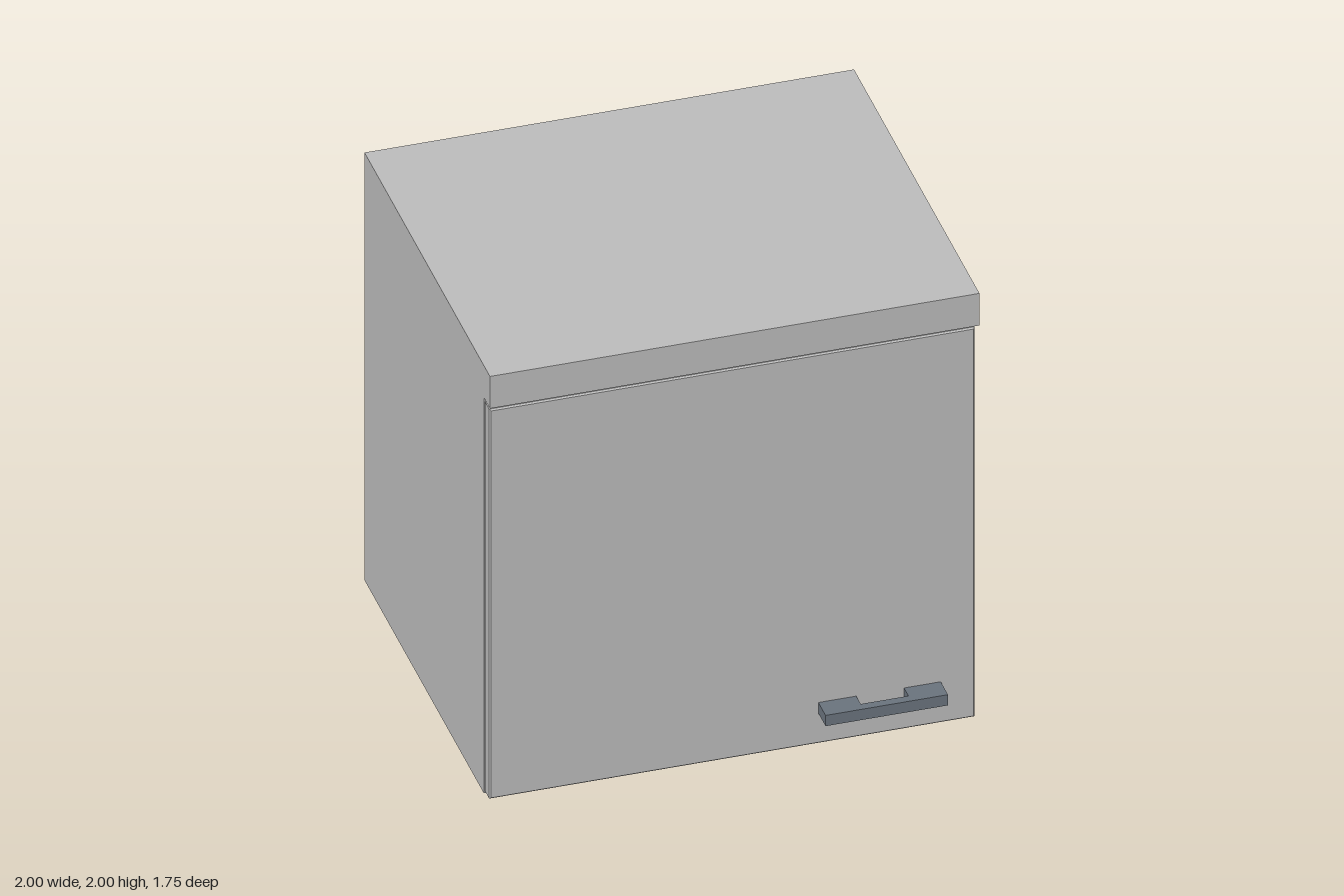
import * as THREE from 'three';

// Closed polygon from [x, y] pairs, extruded by depth
function prism(points, depth) {
  const shape = new THREE.Shape(points.map(([x, y]) => new THREE.Vector2(x, y)));
  return new THREE.ExtrudeGeometry(shape, { depth, bevelEnabled: false });
}

export function createModel() {
  const cabinetGrey = new THREE.MeshStandardMaterial({ color: 0xbcbcbc });
  cabinetGrey.name = 'cabinetGrey';
  const handleSteel = new THREE.MeshStandardMaterial({ color: 0x6a737d });
  handleSteel.name = 'handleSteel';

  const group = new THREE.Group();
  group.name = 'wallCabinet';
  const add = (name, geometry, material) => {
    const mesh = new THREE.Mesh(geometry, material);
    mesh.name = name;
    group.add(mesh);
  };

  // Carcass: side profile (z, y) with a top lip overhanging the door
  const carcass = prism([
    [-0.875, 0], [0.705, 0], [0.705, 1.85], [0.787, 1.85], [0.787, 2], [-0.875, 2],
  ], 2);
  carcass.rotateY(-Math.PI / 2).translate(1, 0, 0);
  add('carcass', carcass, cabinetGrey);

  // Door: slab whose front edge is slightly chamfered
  const left = -0.998, right = 0.985, bottom = 0.015, top = 1.836, bevel = 0.006;
  const door = new THREE.ExtrudeGeometry(
    new THREE.Shape([
      new THREE.Vector2(left + bevel, bottom + bevel),
      new THREE.Vector2(right - bevel, bottom + bevel),
      new THREE.Vector2(right - bevel, top - bevel),
      new THREE.Vector2(left + bevel, top - bevel),
    ]),
    { depth: 0.07 - 2 * bevel, bevelThickness: bevel, bevelSize: bevel, bevelSegments: 1 },
  );
  door.translate(0, 0, 0.706 + bevel);
  add('door', door, cabinetGrey);

  // Handle: plan outline (x, z) of two wide feet joined by a thin bar
  const handle = prism([
    [0.345, 0.775], [0.5, 0.775], [0.5, 0.835], [0.695, 0.835],
    [0.695, 0.775], [0.845, 0.775], [0.845, 0.872], [0.345, 0.872],
  ], 0.05);
  handle.rotateX(Math.PI / 2).translate(0, 0.207, 0);
  add('handle', handle, handleSteel);

  return group;
}
